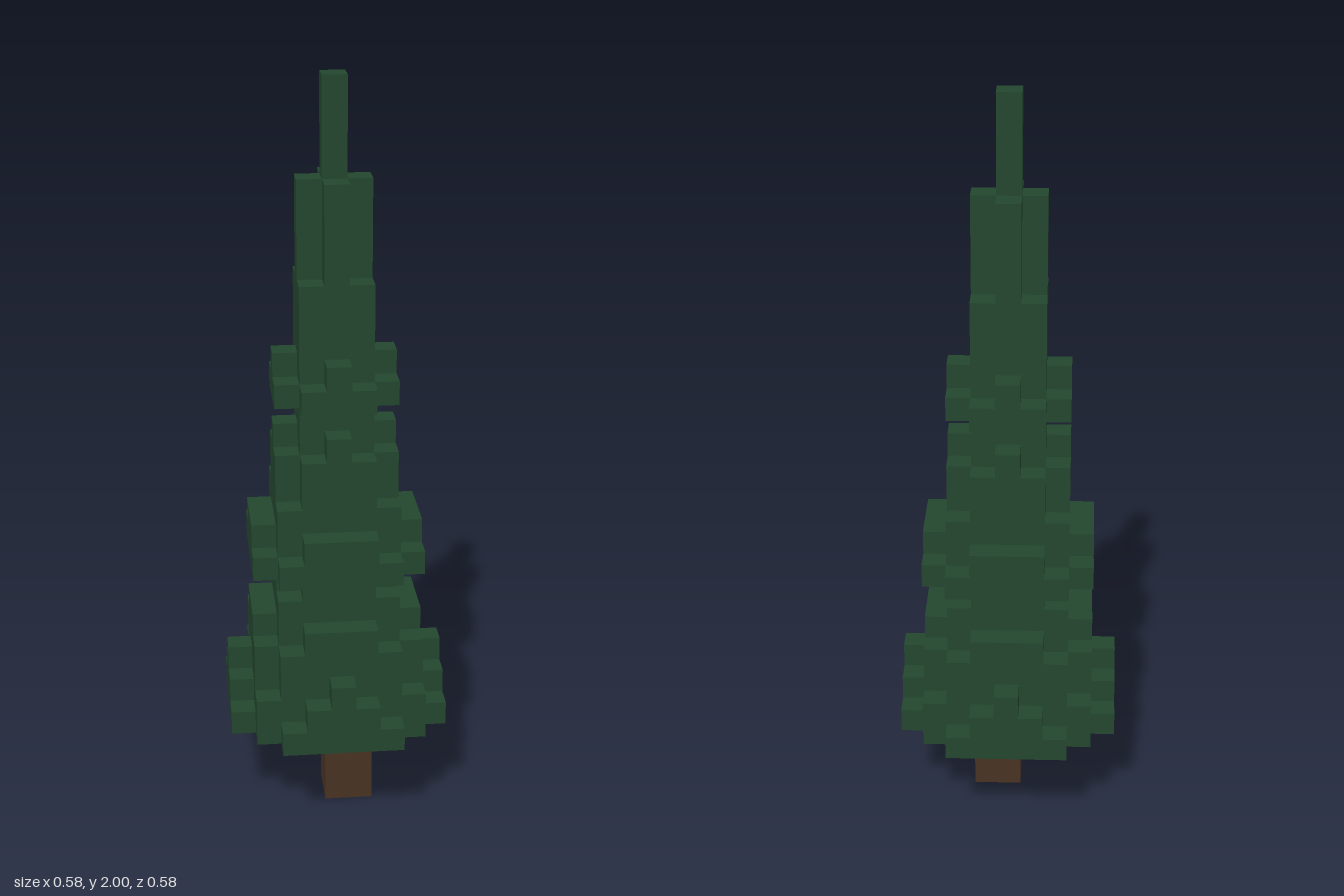
import * as THREE from 'three';

const U = 2 / 31; // edge of one cube cell

// Each foliage tier: [bottom layer, layer count, half-widths of the rows from the middle outward]
const TIERS = [
  [4, 1, [4, 4, 4, 3, 2]],
  [5, 1, [4, 4, 3, 3, 1]],
  [6, 1, [4, 3, 3, 2, 0]],
  [7, 1, [3, 3, 3, 2]],
  [8, 1, [3, 3, 2, 1]],
  [9, 1, [2, 2, 2]],
  [10, 1, [2, 2, 1]],
  [11, 1, [3, 3, 3, 2]],
  [12, 1, [3, 3, 2, 1]],
  [13, 1, [2, 2, 2]],
  [14, 2, [2, 2, 1]],
  [16, 1, [2, 1, 0]],
  [17, 1, [1, 1]],
  [18, 1, [2, 2, 1]],
  [19, 1, [2, 1, 0]],
  [20, 3, [1, 1]],
  [23, 4, [1, 0]],
  [27, 4, [0]],
];

// Stepped outline, mirrored about both axes
function tierShape(rows) {
  const n = rows.length - 1;
  const right = [];
  for (let z = -n; z <= n; z++) {
    const x = rows[Math.abs(z)] + 0.5;
    const last = right[right.length - 1];
    if (last && last[0] === x) last[1] = z + 0.5;
    else right.push([x, z - 0.5], [x, z + 0.5]);
  }
  const left = right.map(([x, z]) => [-x, z]).reverse();
  return new THREE.Shape([...right, ...left].map(([x, z]) => new THREE.Vector2(x * U, z * U)));
}

export function createModel() {
  const needles = new THREE.MeshStandardMaterial({ name: 'needle green', color: 0x23472e });
  const bark = new THREE.MeshStandardMaterial({ name: 'bark brown', color: 0x483423 });

  const tree = new THREE.Group();
  tree.name = 'pineTree';

  // Trunk, set half a cell off centre
  const trunk = new THREE.Mesh(new THREE.BoxGeometry(2 * U, 4 * U, 2 * U), bark);
  trunk.name = 'trunk';
  trunk.position.set(U / 2, 2 * U, U / 2);
  tree.add(trunk);

  // Stacked foliage tiers
  const foliage = new THREE.Group();
  foliage.name = 'foliage';
  TIERS.forEach(([layer, count, rows], i) => {
    const geometry = new THREE.ExtrudeGeometry(tierShape(rows), { depth: count * U, bevelEnabled: false });
    geometry.rotateX(-Math.PI / 2);
    const tier = new THREE.Mesh(geometry, needles);
    tier.name = `foliageTier${i + 1}`;
    tier.position.y = layer * U;
    foliage.add(tier);
  });
  tree.add(foliage);

  return tree;
}
